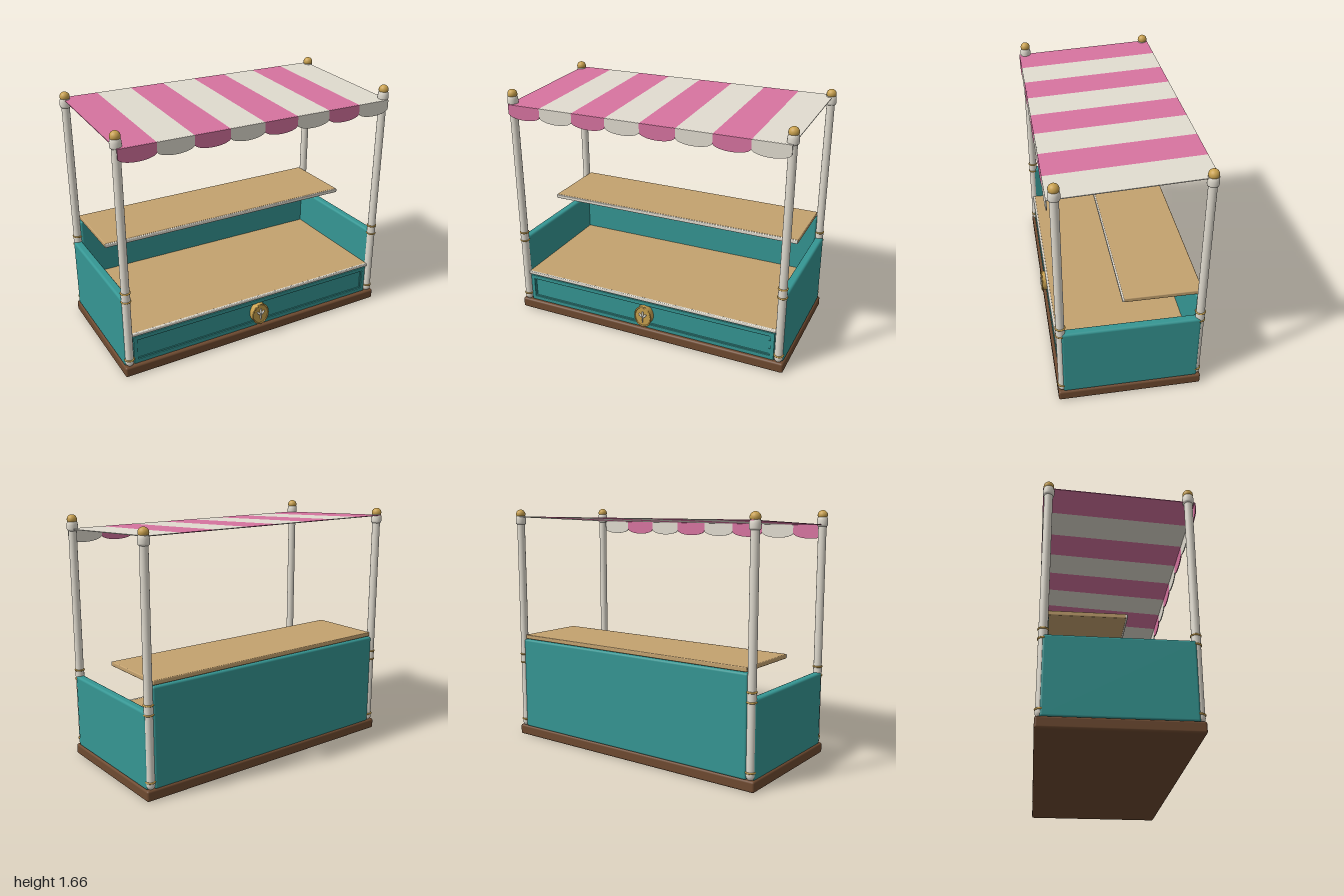
import * as THREE from 'three';
import { RoundedBoxGeometry } from 'three/addons/geometries/RoundedBoxGeometry.js';

const mat = (color, side = THREE.FrontSide) => new THREE.MeshStandardMaterial({ color, side });

export function createModel() {
  const root = new THREE.Group();
  const teal = mat(0x359693), wood = mat(0xc4a26f), cream = mat(0xe0dbcf), brown = mat(0x6e4a30), gold = mat(0xc9a14e);
  const pinkCloth = mat(0xd6739f, THREE.DoubleSide), creamCloth = mat(0xe0dbcf, THREE.DoubleSide);

  const add = (name, geo, material, parent = root) => {
    const m = new THREE.Mesh(geo, material);
    m.name = name;
    parent.add(m);
    return m;
  };
  // Rounded box given by its min and max corners
  const slab = (name, material, x0, x1, y0, y1, z0, z1, r = 0.008) => {
    const m = add(name, new RoundedBoxGeometry(x1 - x0, y1 - y0, z1 - z0, 3, r), material);
    m.position.set((x0 + x1) / 2, (y0 + y1) / 2, (z0 + z1) / 2);
    return m;
  };

  // Plinth and walls
  slab('base', brown, -1, 1, 0, 0.072, -0.48, 0.463, 0.014);
  for (const s of [-1, 1]) {
    const [a, b] = s > 0 ? [0.935, 0.992] : [-0.992, -0.935];
    slab(s > 0 ? 'leftWall' : 'rightWall', teal, a, b, 0.068, 0.57, -0.455, 0.432, 0.016);
  }
  slab('backWall', teal, -0.94, 0.94, 0.068, 0.722, -0.474, -0.42, 0.014);

  // Counter, shelf and their front trims
  slab('counter', wood, -0.936, 0.936, 0.28, 0.303, -0.425, 0.438, 0.004);
  slab('counterTrim', cream, -0.936, 0.936, 0.282, 0.305, 0.432, 0.45, 0.006);
  slab('shelf', wood, -0.93, 0.93, 0.726, 0.756, -0.465, 0.032, 0.006);
  slab('shelfTrim', cream, -0.93, 0.93, 0.728, 0.754, 0.026, 0.042, 0.006);

  // Front panel with a raised frame and a thin inner moulding
  slab('frontPanel', teal, -0.936, 0.936, 0.068, 0.281, 0.39, 0.428, 0.004);
  const rect = (C, w, h) => {
    const p = new C();
    p.moveTo(-w, -h); p.lineTo(w, -h); p.lineTo(w, h); p.lineTo(-w, h); p.closePath();
    return p;
  };
  const frame = (name, w, h, t, z, depth) => {
    const shape = rect(THREE.Shape, w, h);
    shape.holes.push(rect(THREE.Path, w - t, h - t));
    const geo = new THREE.ExtrudeGeometry(shape, { depth, bevelEnabled: true, bevelSize: 0.003, bevelThickness: 0.003, bevelSegments: 2 });
    add(name, geo, teal).position.set(0, 0.172, z);
  };
  frame('panelFrame', 0.925, 0.097, 0.022, 0.424, 0.014);
  frame('panelMoulding', 0.9, 0.074, 0.006, 0.424, 0.006);

  // Oval medallion with a simple flower relief
  const medallion = new THREE.Group();
  medallion.name = 'medallion';
  medallion.position.set(0, 0.174, 0.428);
  root.add(medallion);
  const disc = add('medallionDisc', new THREE.CylinderGeometry(1, 1, 0.044, 48), gold, medallion);
  disc.rotation.x = Math.PI / 2;
  disc.scale.set(0.061, 1, 0.075);
  disc.position.z = 0.022;
  const rim = add('medallionRim', new THREE.TorusGeometry(0.06, 0.005, 8, 48), gold, medallion);
  rim.scale.y = 1.23;
  rim.position.z = 0.044;
  const petalGeo = new THREE.SphereGeometry(1, 16, 12);
  for (const [x, y, len, turn] of [[0, 0.018, 0.026, 0], [-0.014, 0.008, 0.02, 0.75], [0.014, 0.008, 0.02, -0.75], [0, -0.022, 0.024, 0]]) {
    const petal = add('petal', petalGeo, cream, medallion);
    petal.scale.set(y < 0 ? 0.004 : 0.008, len, 0.009);
    petal.position.set(x, y, 0.046);
    petal.rotation.z = turn;
  }

  // Four posts with gold rings, sleeve, collar and ball
  const lathe = (pts) => new THREE.LatheGeometry(pts.map(([r, y]) => new THREE.Vector2(r, y)), 32);
  const footGeo = lathe([[0, 0.07], [0.016, 0.072], [0.026, 0.084], [0.029, 0.1], [0.028, 0.12]]);
  const shaftGeo = new THREE.CylinderGeometry(0.027, 0.027, 1.46, 32);
  const sleeveGeo = new THREE.CylinderGeometry(0.029, 0.029, 0.06, 32);
  const ringGeo = new THREE.TorusGeometry(0.028, 0.006, 10, 32);
  const collarGeo = lathe([[0.026, 1.55], [0.034, 1.556], [0.036, 1.565], [0.036, 1.59], [0.033, 1.605], [0.028, 1.618], [0, 1.62]]);
  const ballGeo = new THREE.SphereGeometry(0.033, 24, 16);
  for (const x of [-0.96, 0.96]) for (const z of [-0.45, 0.433]) {
    const post = new THREE.Group();
    post.name = (z > 0 ? 'front' : 'back') + (x > 0 ? 'Left' : 'Right') + 'Post';
    post.position.set(x, 0, z);
    root.add(post);
    add('foot', footGeo, cream, post);
    add('shaft', shaftGeo, cream, post).position.y = 0.84;
    add('sleeve', sleeveGeo, cream, post).position.y = 0.58;
    for (const y of [0.118, 0.549, 0.61]) {
      const ring = add('ring', ringGeo, gold, post);
      ring.rotation.x = Math.PI / 2;
      ring.position.y = y;
    }
    add('collar', collarGeo, cream, post);
    add('ball', ballGeo, gold, post).position.y = 1.624;
  }

  // Sloping striped canopy with a scalloped valance
  const w = 1.94 / 8, yF = 1.559, yB = 1.607, zF = 0.474, zB = -0.485;
  const len = Math.hypot(zF - zB, yB - yF), tilt = Math.atan2(yB - yF, zF - zB);
  const scallop = new THREE.Shape();
  scallop.moveTo(-w / 2, 1.561);
  scallop.lineTo(-w / 2, 1.503);
  scallop.absellipse(0, 1.503, w / 2, 0.037, Math.PI, Math.PI * 2, false);
  scallop.lineTo(w / 2, 1.561);
  scallop.closePath();
  const scallopGeo = new THREE.ExtrudeGeometry(scallop, { depth: 0.006, bevelEnabled: false, curveSegments: 20 });
  const stripeGeo = new THREE.BoxGeometry(w, 0.005, len);
  for (let i = 0; i < 8; i++) {
    const cloth = i % 2 ? creamCloth : pinkCloth, x = -0.97 + w * (i + 0.5);
    const stripe = add('canopyStripe', stripeGeo, cloth);
    stripe.position.set(x, (yF + yB) / 2, (zF + zB) / 2);
    stripe.rotation.x = tilt;
    add('valanceScallop', scallopGeo, cloth).position.set(x, 0, 0.473);
  }
  return root;
}
